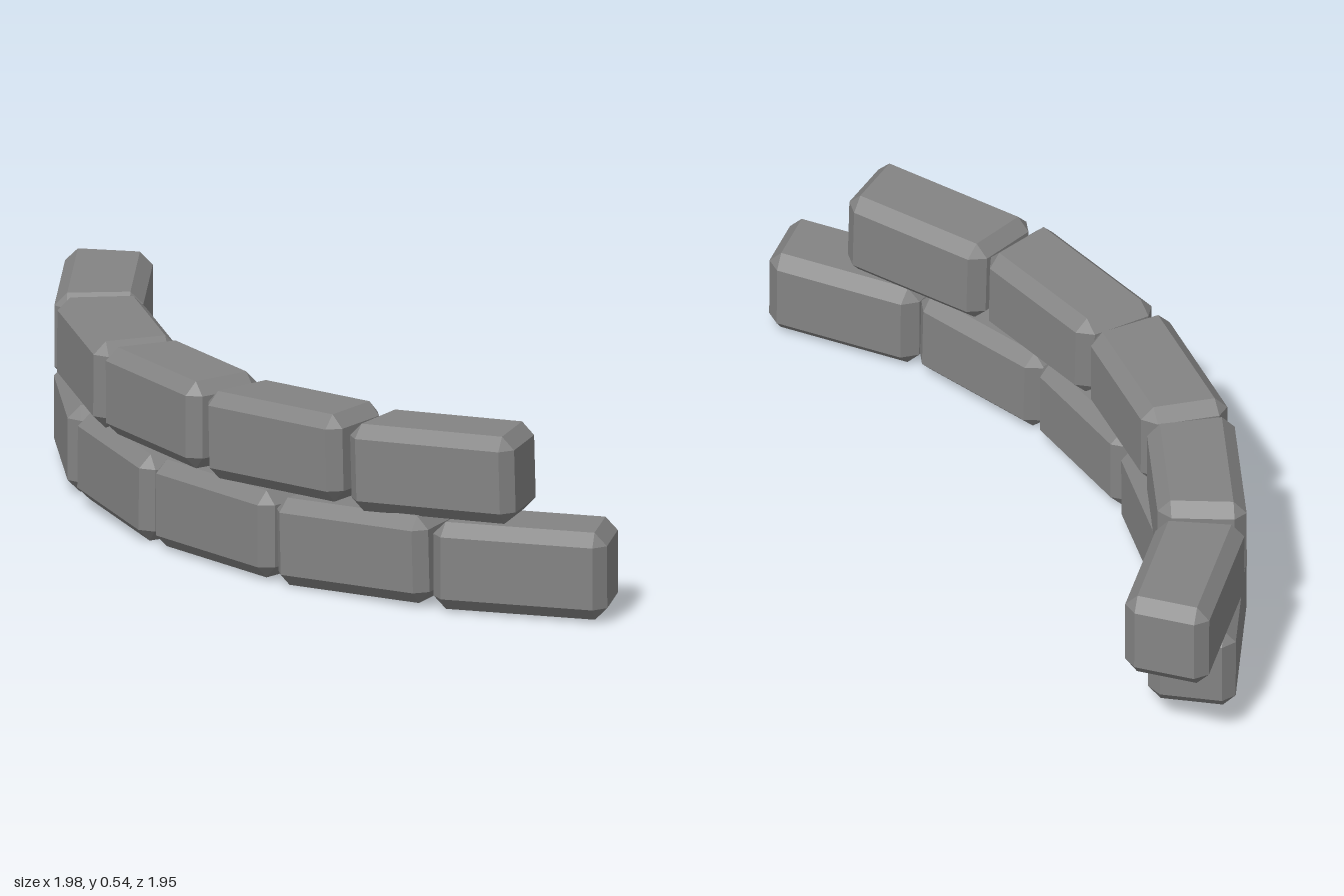
import * as THREE from 'three';
import { ConvexGeometry } from 'three/addons/geometries/ConvexGeometry.js';

const CENTER = { x: 0.92, z: -0.935 }; // centre of the wall's curve
const RADIUS = 1.76;
const rad = THREE.MathUtils.degToRad;

// Chamfered wedge block: x along the wall, z outward, longer on its outer side
function brickGeometry() {
  const hx = 0.255, hy = 0.132, hz = 0.13, bevel = 0.038;
  const points = [];
  for (const sx of [-1, 1]) for (const sy of [-1, 1]) for (const sz of [-1, 1]) {
    for (let axis = 0; axis < 3; axis++) {
      const inset = [bevel, bevel, bevel];
      inset[axis] = 0;
      const z = sz * (hz - inset[2]);
      const x = sx * (hx + z * 0.12 - inset[0]);
      points.push(new THREE.Vector3(x, sy * (hy - inset[1]), z));
    }
  }
  return new ConvexGeometry(points);
}

export function createModel() {
  const model = new THREE.Group();
  model.name = 'curvedBrickWall';
  const stone = new THREE.MeshStandardMaterial({ color: 0x838383 });
  stone.name = 'stoneGrey';
  const geometry = brickGeometry();

  // Each brick: [angle along the curve, tilt], in degrees
  const courses = [
    { name: 'lowerCourse', y: 0.142, bricks: [[15.8, -0.6], [33.5, -1.6], [50.5, 0], [67.2, 1.6], [84, 0.3]] },
    { name: 'upperCourse', y: 0.41, bricks: [[6.9, -1.5], [24, -1.6], [41, 0.3], [58.3, 1.5], [75.5, 1.6]] },
  ];

  for (const { name, y, bricks } of courses) {
    const course = new THREE.Group();
    course.name = name;
    bricks.forEach(([angle, tilt], i) => {
      const a = rad(angle);
      const brick = new THREE.Mesh(geometry, stone);
      brick.name = `brick${i + 1}`;
      brick.position.set(CENTER.x - RADIUS * Math.cos(a), y, CENTER.z + RADIUS * Math.sin(a));
      brick.rotation.set(0, a - Math.PI / 2, rad(tilt));
      course.add(brick);
    });
    model.add(course);
  }
  return model;
}
